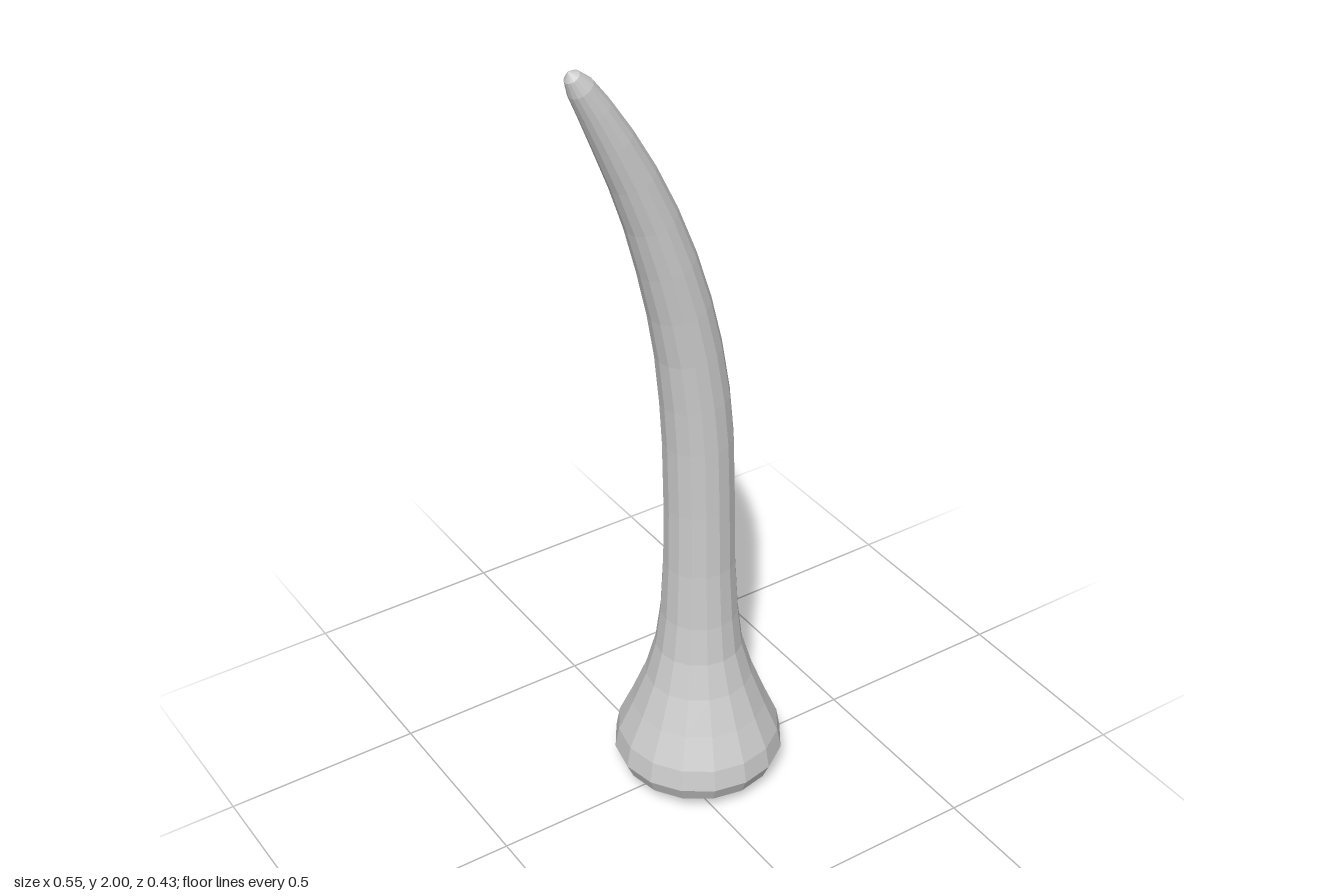
import * as THREE from 'three';

const SIDES = 16;

// Rings along the curved axis: [centre x, centre y, radius]
const RINGS = [
  [0.065, 0.005, 0.07], [0.065, 0.018, 0.14], [0.065, 0.045, 0.195],
  [0.065, 0.085, 0.2126], [0.065, 0.14, 0.203], [0.066, 0.22, 0.168],
  [0.066, 0.31, 0.133], [0.065, 0.4, 0.108], [0.066, 0.5, 0.096],
  [0.065, 0.65, 0.088], [0.064, 0.82, 0.086], [0.059, 1.0, 0.085],
  [0.049, 1.12, 0.083], [0.031, 1.25, 0.079], [0.006, 1.37, 0.075],
  [-0.027, 1.49, 0.07], [-0.067, 1.61, 0.063], [-0.112, 1.72, 0.056],
  [-0.16, 1.82, 0.048], [-0.202, 1.9, 0.039], [-0.234, 1.955, 0.031],
  [-0.253, 1.984, 0.019],
];

// Skin the rings, each square to the axis, and close both ends with fans
function hornGeometry() {
  const pos = [], index = [];
  RINGS.forEach(([cx, cy, r], i) => {
    const a = RINGS[Math.max(i - 1, 0)];
    const b = RINGS[Math.min(i + 1, RINGS.length - 1)];
    const tilt = Math.atan2(a[0] - b[0], b[1] - a[1]);
    for (let j = 0; j < SIDES; j++) {
      const t = (j / SIDES) * Math.PI * 2;
      const u = Math.cos(t) * r;
      pos.push(cx + u * Math.cos(tilt), cy + u * Math.sin(tilt), Math.sin(t) * r);
    }
  });
  const bottom = pos.length / 3, tip = bottom + 1;
  pos.push(0.065, 0, 0, -0.262, 1.998, 0);

  const last = (RINGS.length - 1) * SIDES;
  for (let j = 0; j < SIDES; j++) {
    const k = (j + 1) % SIDES;
    index.push(bottom, j, k, tip, last + k, last + j);
    for (let i = 0; i < last; i += SIDES) {
      const a = i + j, b = i + k, c = a + SIDES, d = b + SIDES;
      index.push(a, c, b, b, c, d);
    }
  }
  const geo = new THREE.BufferGeometry();
  geo.setAttribute('position', new THREE.Float32BufferAttribute(pos, 3));
  geo.setIndex(index);
  geo.computeVertexNormals();
  return geo;
}

export function createModel() {
  const group = new THREE.Group();
  group.name = 'horn';
  // Curved horn with a flared, rounded root
  const mat = new THREE.MeshStandardMaterial({ color: 0xcccccc, flatShading: true });
  const horn = new THREE.Mesh(hornGeometry(), mat);
  horn.name = 'curvedHorn';
  group.add(horn);
  return group;
}
